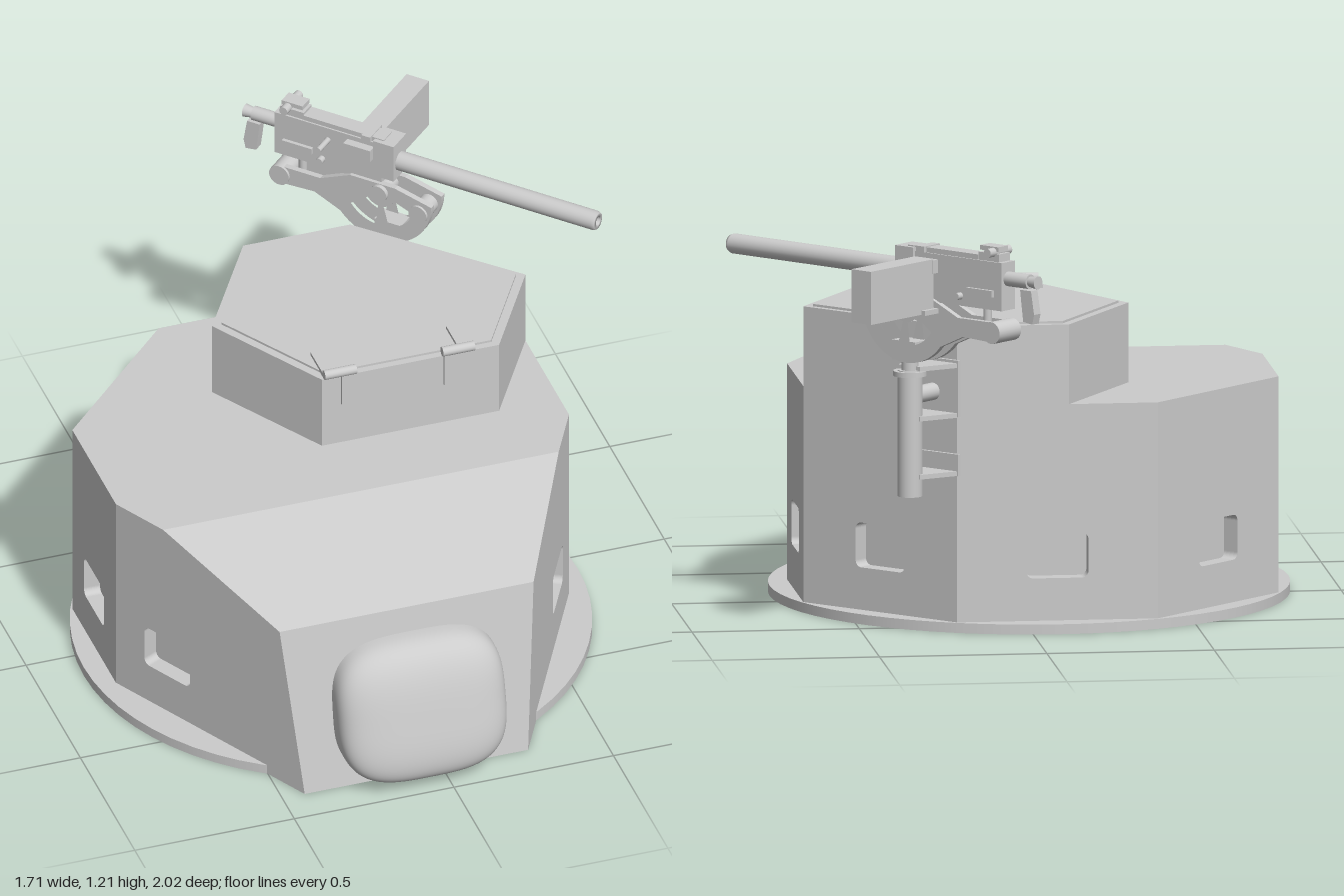
import * as THREE from 'three';
import { mergeVertices } from 'three/addons/utils/BufferGeometryUtils.js';

const grey = new THREE.MeshStandardMaterial({ color: 0xcccccc });
const CX = -0.08; // hull centre line

function add(parent, name, geo, x = 0, y = 0, z = 0) {
  const m = new THREE.Mesh(geo, grey);
  m.name = name;
  m.position.set(x, y, z);
  parent.add(m);
  return m;
}
const box = (p, name, w, h, d, x, y, z) => add(p, name, new THREE.BoxGeometry(w, h, d), x, y, z);
// Cylinder along a chosen axis
function rod(p, name, r, len, axis, x, y, z, r2 = r, sides = 24) {
  const g = new THREE.CylinderGeometry(r, r2, len, sides);
  if (axis === 'x') g.rotateZ(-Math.PI / 2);
  if (axis === 'z') g.rotateX(Math.PI / 2);
  return add(p, name, g, x, y, z);
}
const shapeOf = pts => new THREE.Shape(pts.map(p => new THREE.Vector2(...p)));
// Plan outline [x, z] raised from y0 to y1
function prism(p, name, plan, y0, y1) {
  const g = new THREE.ExtrudeGeometry(shapeOf(plan.map(([x, z]) => [x, -z])), { depth: y1 - y0, bevelEnabled: false });
  return add(p, name, g.rotateX(-Math.PI / 2), 0, y0, 0);
}
// Flat convex face from corners in counter-clockwise order
function face(p, name, pts) {
  const pos = [];
  for (let i = 1; i < pts.length - 1; i++) pos.push(...pts[0], ...pts[i], ...pts[i + 1]);
  const g = new THREE.BufferGeometry();
  g.setAttribute('position', new THREE.Float32BufferAttribute(pos, 3));
  g.computeVertexNormals();
  return add(p, name, g);
}
function roundRect(T, cx, cy, w, h, r) {
  const s = new T(), x = cx - w / 2, y = cy - h / 2, q = Math.PI / 2;
  s.absarc(x + w - r, y + r, r, -q, 0);
  s.absarc(x + w - r, y + h - r, r, 0, q);
  s.absarc(x + r, y + h - r, r, q, 2 * q);
  s.absarc(x + r, y + r, r, 2 * q, 3 * q);
  s.closePath();
  return s;
}

// Wall panel from plan point a to b with a recessed port centred at portU
function wall(p, a, b, profile, portU) {
  const g = new THREE.Group();
  g.name = 'wallPanel';
  g.position.set(a[0], 0, a[1]);
  g.rotation.y = Math.atan2(a[1] - b[1], b[0] - a[0]);
  const s = shapeOf(profile);
  s.holes.push(roundRect(THREE.Path, portU, 0.225, 0.185, 0.135, 0.02));
  add(g, 'wall', new THREE.ExtrudeGeometry(s, { depth: 0.05, bevelEnabled: false, curveSegments: 5 }), 0, 0, -0.05);
  box(g, 'portBack', 0.21, 0.16, 0.01, portU, 0.225, -0.055);
  p.add(g);
}

function buildHull(root) {
  const hull = new THREE.Group();
  hull.name = 'hull';
  hull.position.x = CX;
  root.add(hull);
  rod(hull, 'baseRing', 0.775, 0.03, 'y', 0, 0.015, 0.105, 0.775, 64);

  const plan = [[-0.35, 0.89], [0.35, 0.89], [0.71, 0.21], [0.71, -0.19], [0.3, -0.6], [-0.3, -0.6], [-0.71, -0.19], [-0.71, 0.21]];
  const H = 0.68;
  for (let i = 1; i < 8; i++) {
    const a = plan[i], b = plan[(i + 1) % 8];
    const L = Math.hypot(b[0] - a[0], b[1] - a[1]);
    let profile = [[0, 0], [L, 0], [L, H], [0, H]], u = L / 2;
    if (i === 1 || i === 7) { // tapered cheeks follow the sloping roof
      profile = [[0, 0], [L, 0], [L, H], [0.577, H], [0.102, 0.54]];
      u = 0.56;
      if (i === 7) {
        profile = profile.map(([x, y]) => [L - x, y]).reverse();
        u = L - u;
      }
    }
    wall(hull, a, b, profile, u);
  }
  const w = 0.62, n = 0.398;
  face(hull, 'frontPlate', [[-0.35, 0, 0.89], [0.35, 0, 0.89], [n, 0.54, 0.8], [-n, 0.54, 0.8]]);
  face(hull, 'slopingRoof', [[-n, 0.54, 0.8], [n, 0.54, 0.8], [w, H, 0.38], [-w, H, 0.38]]);
  face(hull, 'roof', [[-w, H, 0.38], [w, H, 0.38], ...plan.slice(2).map(([x, z]) => [x, H, z])]);
  face(hull, 'floor', plan.map(([x, z]) => [x, 0.001, z]).reverse());

  // Soft rounded gun cover on the front plate
  let g = new THREE.IcosahedronGeometry(1, 24);
  g.deleteAttribute('uv');
  g.deleteAttribute('normal');
  g = mergeVertices(g, 1e-4);
  const pos = g.attributes.position, N = 3.3;
  for (let i = 0; i < pos.count; i++) {
    const v = new THREE.Vector3().fromBufferAttribute(pos, i);
    v.divideScalar((Math.abs(v.x) ** N + Math.abs(v.y) ** N + Math.abs(v.z) ** N) ** (1 / N));
    pos.setXYZ(i, v.x * 0.262, v.y * 0.215, v.z * 0.118 - v.y * 0.215 * 0.25);
  }
  g.computeVertexNormals();
  add(hull, 'frontCover', g, 0.014, 0.245, 0.863);
}

function buildCupola(root) {
  const cupola = new THREE.Group();
  cupola.name = 'cupola';
  root.add(cupola);
  const plan = [[-0.335, -0.24], [-0.115, 0.125], [0.44, 0.125], [0.63, -0.19], [0.22, -0.6], [-0.115, -0.6]];
  prism(cupola, 'cupolaBody', plan, 0.68, 0.92);
  const c = [0.15, -0.235];
  prism(cupola, 'lid', plan.map(([x, z]) => [c[0] + (x - c[0]) * 0.94, c[1] + (z - c[1]) * 0.94]), 0.92, 0.927);
  // Two mirrored hinges
  for (const s of [-1, 1]) {
    const x = 0.125 + s * 0.185;
    rod(cupola, 'hingePin', 0.015, 0.1, 'x', x, 0.938, 0.128, 0.015, 16);
    box(cupola, 'lidStrap', 0.045, 0.014, 0.12, x + s * 0.027, 0.93, 0.065);
    box(cupola, 'frontStrap', 0.04, 0.115, 0.012, x - s * 0.025, 0.877, 0.129);
  }
}

function buildMount(root) {
  const mount = new THREE.Group();
  mount.name = 'gunMount';
  mount.position.set(0.365, 0, -0.635);
  mount.rotation.y = Math.PI * 0.75;
  root.add(mount);
  rod(mount, 'post', 0.037, 0.38, 'y', 0, 0.61, 0);
  rod(mount, 'postCollar', 0.05, 0.015, 'y', 0, 0.79, 0);
  rod(mount, 'postNeck', 0.026, 0.09, 'y', 0, 0.825, 0);
  // Wall brackets: back plate with shelves reaching the post
  const shelf = shapeOf([[-0.09, 0], [0.09, 0], [0.04, 0.13], [-0.04, 0.13]]);
  for (const [y, h, shelves] of [[0.735, 0.17, [0.655, 0.805]], [0.505, 0.065, [0.48]]]) {
    box(mount, 'bracketPlate', 0.18, h, 0.012, 0, y, -0.122);
    for (const sy of shelves) {
      const g = new THREE.ExtrudeGeometry(shelf, { depth: 0.014, bevelEnabled: false });
      add(mount, 'bracketShelf', g.rotateX(Math.PI / 2), 0, sy + 0.007, -0.127);
    }
  }
  rod(mount, 'clampBolt', 0.026, 0.1, 'z', 0, 0.72, -0.06);
}

function buildGun(root) {
  const gun = new THREE.Group();
  gun.name = 'roofGun';
  gun.position.set(0.365, 0, -0.635);
  gun.rotation.y = 0.755;
  root.add(gun);

  // Barrel jacket with an open bore
  const tube = [[0.03, 0], [0.03, 0.68], [0.026, 0.69], [0.014, 0.69], [0.014, 0.62], [0, 0.62]];
  const lathe = new THREE.LatheGeometry(tube.map(p => new THREE.Vector2(...p)), 24).rotateX(Math.PI / 2);
  add(gun, 'barrel', lathe.toNonIndexed(), 0, 1.105, 0);
  box(gun, 'trunnionBlock', 0.08, 0.125, 0.07, 0, 1.115, -0.01);
  box(gun, 'receiver', 0.062, 0.145, 0.36, 0, 1.093, -0.2);
  box(gun, 'topCover', 0.052, 0.018, 0.27, 0, 1.172, -0.15);
  box(gun, 'coverLatch', 0.075, 0.018, 0.03, 0, 1.175, -0.07);
  // Rear sight
  box(gun, 'sightBase', 0.05, 0.025, 0.08, 0, 1.177, -0.325);
  box(gun, 'sightLeaf', 0.045, 0.014, 0.07, 0, 1.203, -0.325);
  rod(gun, 'sightKnob', 0.014, 0.1, 'x', 0, 1.193, -0.34, 0.014, 12);
  // Back end and grip
  rod(gun, 'backPlug', 0.022, 0.09, 'z', 0, 1.115, -0.42);
  rod(gun, 'buffer', 0.014, 0.04, 'z', 0, 1.115, -0.475, 0.02);
  const grip = shapeOf([[-0.03, 0.1], [0.012, 0.1], [0.006, 0.05], [0, 0.005], [-0.035, 0], [-0.042, 0.03]]);
  const gg = new THREE.ExtrudeGeometry(grip, { depth: 0.03, bevelEnabled: false });
  add(gun, 'grip', gg.rotateY(-Math.PI / 2), 0.015, 0.99, -0.45);
  // Charging handle and side fittings
  rod(gun, 'chargingHandle', 0.009, 0.07, 'x', -0.06, 1.125, -0.2, 0.009, 12);
  for (const s of [-1, 1]) {
    box(gun, 'feedGuide', 0.03, 0.04, 0.09, s * 0.042, 1.13, -0.09);
    box(gun, 'sideRail', 0.012, 0.02, 0.1, s * 0.036, 1.07, -0.3);
    rod(gun, 'sidePin', 0.011, 0.022, 'x', s * 0.04, 1.05, -0.22, 0.011, 12);
  }
  // Ammunition box on the left with its tray
  box(gun, 'ammunitionBox', 0.29, 0.16, 0.075, 0.195, 1.073, -0.095);
  box(gun, 'ammunitionTray', 0.09, 0.015, 0.1, 0.06, 0.998, -0.095);

  // Cradle: paired toothed-arc cheeks with cut-outs, arm reaching back to the knob
  const s = new THREE.Shape();
  s.moveTo(0.15, 1.01);
  s.absarc(-0.02, 1.0, 0.172, 0, -Math.PI * 0.78, true);
  s.lineTo(-0.24, 0.93);
  s.lineTo(-0.35, 0.925);
  s.lineTo(-0.375, 0.955);
  s.lineTo(-0.35, 0.985);
  s.lineTo(-0.22, 0.985);
  s.lineTo(-0.12, 1.03);
  s.lineTo(0.03, 1.03);
  s.closePath();
  for (const [a0, a1] of [[-0.12, -0.42], [-0.54, -0.8]]) {
    const h = new THREE.Path();
    h.absarc(-0.02, 1.0, 0.12, a0 * Math.PI, a1 * Math.PI, true);
    h.absarc(-0.02, 1.0, 0.05, a1 * Math.PI, a0 * Math.PI, false);
    h.closePath();
    s.holes.push(h);
  }
  for (const x of [-0.024, 0.042]) {
    const g = new THREE.ExtrudeGeometry(s, { depth: 0.018, bevelEnabled: false, curveSegments: 16 });
    add(gun, 'cradleCheek', g.rotateY(-Math.PI / 2), x, 0, 0);
  }
  rod(gun, 'cradlePivot', 0.028, 0.11, 'x', 0, 1.0, -0.02);
  rod(gun, 'elevationKnob', 0.033, 0.1, 'x', 0, 0.955, -0.355);
  rod(gun, 'elevationScrew', 0.013, 0.09, 'y', 0, 0.99, -0.3, 0.013, 12);
  rod(gun, 'frontRoller', 0.03, 0.1, 'x', 0, 0.965, 0.11);
  box(gun, 'yoke', 0.06, 0.06, 0.09, 0, 0.86, 0);
}

export function createModel() {
  const root = new THREE.Group();
  root.name = 'turret';
  buildHull(root);
  buildCupola(root);
  buildMount(root);
  buildGun(root);
  return root;
}
